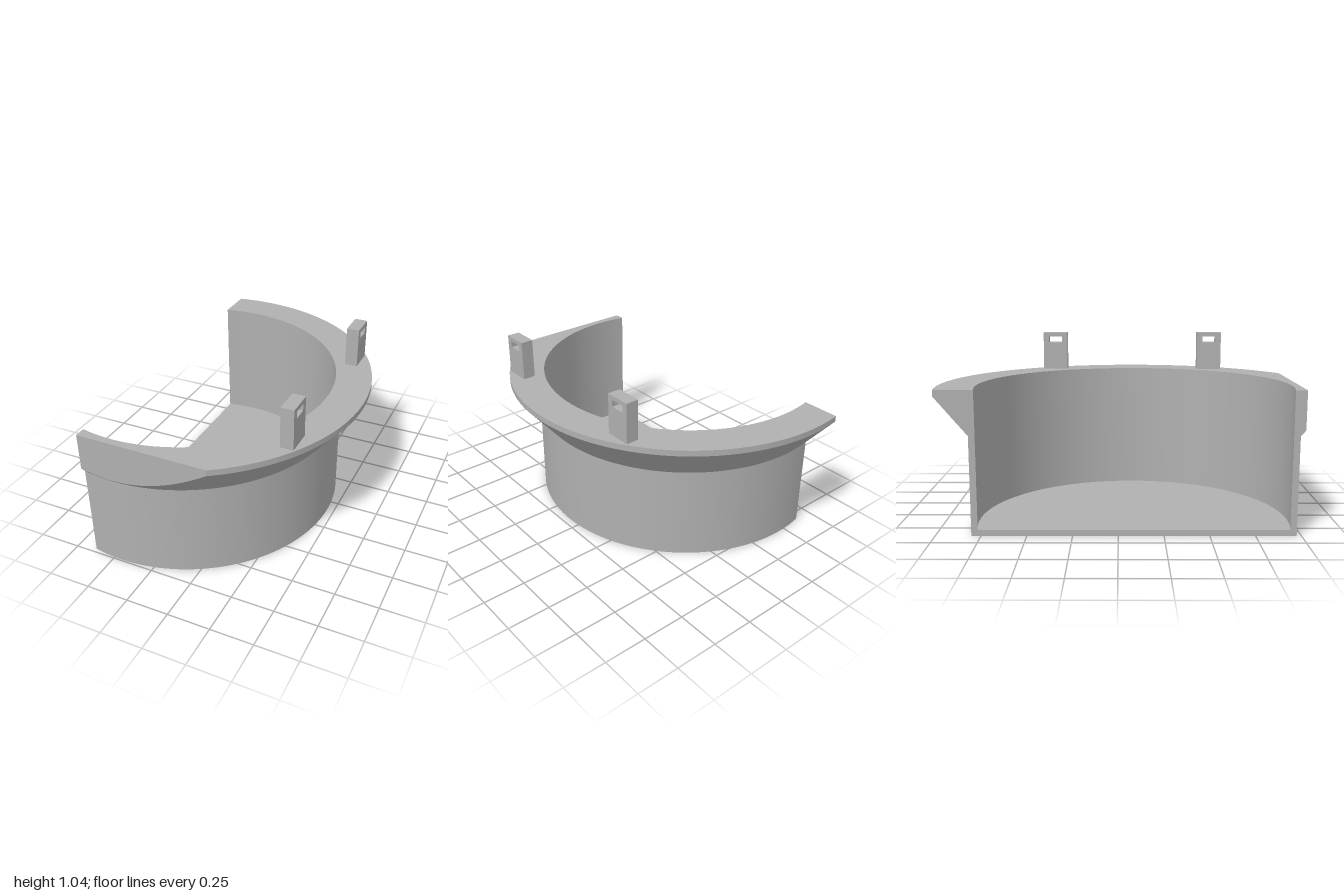
import * as THREE from 'three';
import { toCreasedNormals } from 'three/addons/utils/BufferGeometryUtils.js';

const CX = -0.45, CZ = 0.085;          // axis of the round wall
const INNER = 0.872, WALL = 0.907, RIM = 1.085;
const CUT_X = -0.187, CUT_Z = 0.915;   // flat cuts, measured from the axis
const TOP = 0.803, LIP = 0.768, NECK = 0.555, FLOOR = 0.035;

// Angle at which a circle of radius r meets the open side
const endAngle = (r) => Math.acos(CUT_X / r);

// Wall and flared rim: one cross-section swept round the axis
function wallGeometry() {
  const corner = Math.asin(CUT_Z / RIM);
  const rimStart = -endAngle(RIM), rimEnd = Math.atan2(CUT_Z, CUT_X);
  const angles = [];
  for (let i = 0; i < 72; i++) angles.push(rimStart + (corner - rimStart) * i / 72);
  for (let i = 0; i <= 24; i++) angles.push(corner + (rimEnd - corner) * i / 24);

  const section = (t) => {
    // the rim is trimmed by the flat side, which also cuts into the cone
    const rim = t > corner ? CUT_Z / Math.sin(t) : RIM;
    const lip = NECK + (rim - WALL) / (RIM - WALL) * (LIP - NECK);
    const scaled = (r) => t < 0 ? t / rimStart * -endAngle(r) : t / rimEnd * endAngle(r);
    const at = (r, y, a) => [CX + r * Math.cos(a), y, CZ + r * Math.sin(a)];
    const ai = scaled(INNER), aw = scaled(WALL);
    return [at(INNER, 0, ai), at(INNER, TOP, ai), at(rim, TOP, t),
      at(rim, lip, t), at(WALL, NECK, aw), at(WALL, 0, aw)];
  };
  const rings = angles.map(section);
  const pos = [];
  const tri = (a, b, c) => pos.push(...a, ...b, ...c);
  for (let k = 0; k < rings.length - 1; k++) {
    const p = rings[k], q = rings[k + 1];
    for (let i = 0; i < 6; i++) {
      const j = (i + 1) % 6;
      tri(p[i], q[i], p[j]);
      tri(p[j], q[i], q[j]);
    }
  }
  // end faces on the open side
  const s = rings[0], e = rings[rings.length - 1];
  for (const [a, b, c] of [[0, 1, 4], [0, 4, 5], [1, 2, 3], [1, 3, 4]]) {
    tri(s[a], s[b], s[c]);
    tri(e[a], e[c], e[b]);
  }
  const g = new THREE.BufferGeometry();
  g.setAttribute('position', new THREE.Float32BufferAttribute(pos, 3));
  return toCreasedNormals(g, 0.35);
}

// Floor: a cut disc inside the wall
function floorGeometry() {
  const shape = new THREE.Shape();
  const a = endAngle(INNER);
  shape.absarc(CX, -CZ, INNER, -a, a, false);
  shape.closePath();
  const g = new THREE.ExtrudeGeometry(shape, { depth: FLOOR, bevelEnabled: false, curveSegments: 96 });
  g.rotateX(-Math.PI / 2);
  return toCreasedNormals(g, 0.35);
}

// Upright lug with a rectangular slot through it
function lugGeometry() {
  const rect = (path, x0, y0, x1, y1) =>
    path.moveTo(x0, y0).lineTo(x1, y0).lineTo(x1, y1).lineTo(x0, y1).closePath();
  const shape = new THREE.Shape();
  rect(shape, -0.077, 0, 0.077, 0.237);
  const slot = new THREE.Path();
  rect(slot, -0.043, 0.172, 0.043, 0.212);
  shape.holes.push(slot);
  const g = new THREE.ExtrudeGeometry(shape, { depth: 0.075, bevelEnabled: false });
  return g.rotateY(-Math.PI / 2);
}

export function createModel() {
  const group = new THREE.Group();
  group.name = 'halfRoundBin';
  const grey = new THREE.MeshStandardMaterial({ color: 0xb0b0b0 });
  grey.name = 'grey';

  const add = (name, geometry) => {
    const mesh = new THREE.Mesh(geometry, grey);
    mesh.name = name;
    group.add(mesh);
    return mesh;
  };
  add('wallAndRim', wallGeometry());
  add('floor', floorGeometry());
  const lug = lugGeometry();
  add('frontLug', lug).position.set(0.457, TOP, CZ + 0.503);
  add('backLug', lug).position.set(0.457, TOP, CZ - 0.499);
  return group;
}
